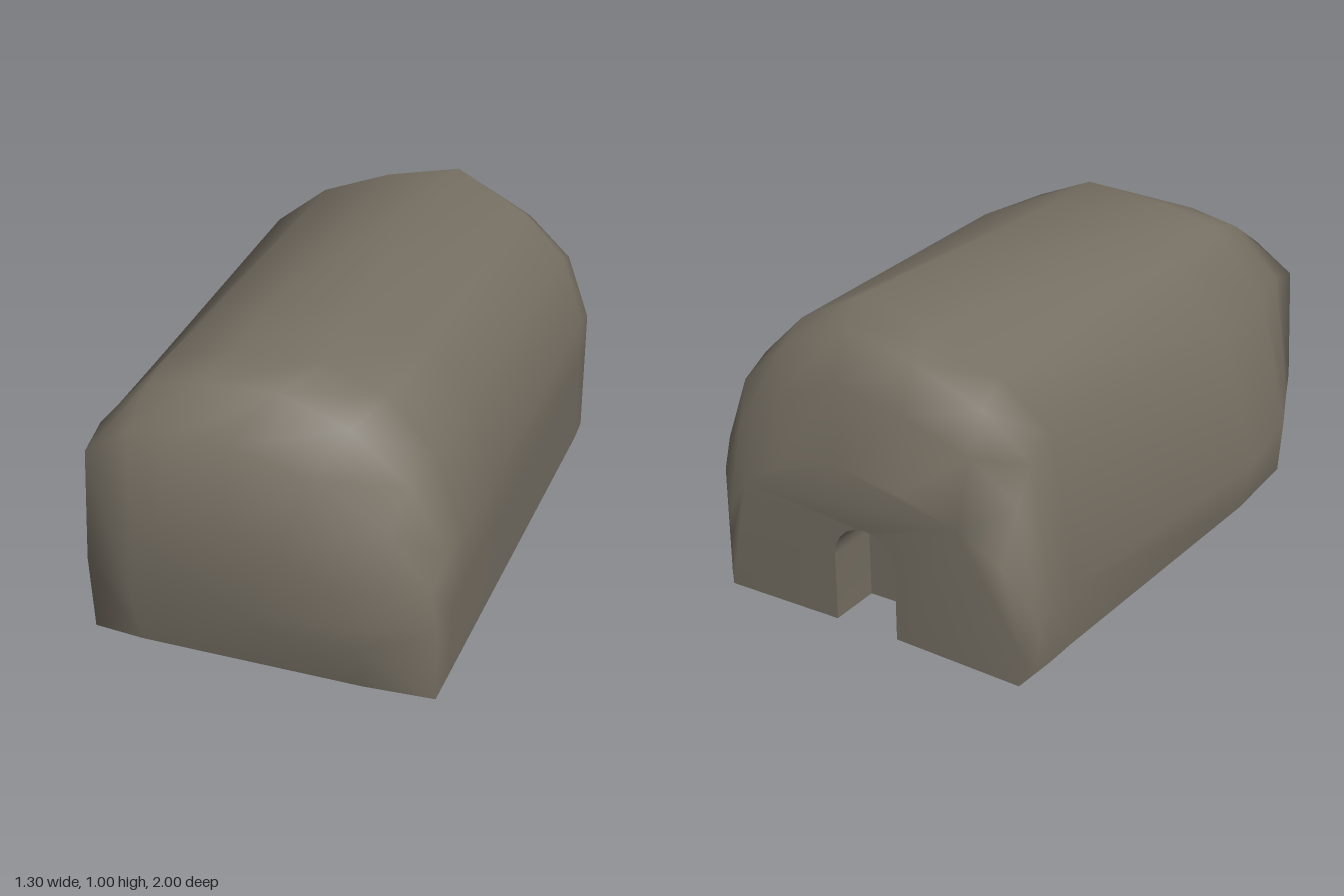
import * as THREE from 'three';
import { mergeVertices } from 'three/addons/utils/BufferGeometryUtils.js';

// Arch cross-sections, from the +x foot over the top to the -x foot
const FRONT = [[.65, 0], [.65, .24], [.63, .38], [.49, .55], [.25, .69], [0, .755], [-.2, .76], [-.34, .735], [-.48, .64], [-.495, .25], [-.48, 0]];
const BROW = [[.65, 0], [.65, .24], [.645, .44], [.55, .69], [.4, .855], [.2, .94], [-.1, .915], [-.31, .87], [-.5, .65], [-.605, .19], [-.59, 0]];
const MIDDLE = [[.65, 0], [.65, .25], [.65, .45], [.57, .71], [.43, .875], [.18, .955], [-.12, .915], [-.32, .85], [-.515, .64], [-.655, .19], [-.605, 0]];
const REAR = [[.65, 0], [.65, .3], [.65, .48], [.57, .72], [.42, .87], [.18, 1], [-.08, .94], [-.32, .845], [-.5, .7], [-.575, .2], [-.565, 0]];

const ROOM_BACK = -0.79;
// The back wall slants slightly towards -x
const backZ = (x) => -0.97 - 0.054 * Math.max(0, -x);

const atDepth = (section, z) => section.map(([x, y]) => [x, y, z]);
// Shrinks a section towards its -x foot and the ground
const shrink = (section, sx, sy) => section.map(([x, y]) => [-0.45 + (x + 0.45) * sx, y * sy]);
// Section halfway between two others, pushed up a little
const between = (a, b, lift) => a.map(([x, y], j) => [(x + b[j][0]) / 2, (y + b[j][1]) / 2 * lift]);

// Joins neighbouring rows of points into a surface
function loft(rows) {
  const pos = rows.flat(2), idx = [], n = rows[0].length;
  for (let i = 0; i + 1 < rows.length; i++)
    for (let j = 0; j + 1 < n; j++) {
      const a = i * n + j, b = a + n;
      idx.push(a, b, a + 1, a + 1, b, b + 1);
    }
  return { pos, idx };
}

function toGeometry({ pos, idx }) {
  const g = new THREE.BufferGeometry();
  g.setAttribute('position', new THREE.Float32BufferAttribute(pos, 3));
  g.setIndex(idx);
  const merged = mergeVertices(g, 1e-4);
  merged.computeVertexNormals();
  return merged;
}

// Round-topped doorway outline, from the -x foot to the +x foot
function doorOutline() {
  const cx = 0.02, r = 0.115, spring = 0.23, pts = [[cx - r, 0]];
  for (let k = 0; k <= 10; k++) {
    const a = Math.PI * (1 - k / 10);
    pts.push([cx + r * Math.cos(a), spring + r * Math.sin(a)]);
  }
  pts.push([cx + r, 0]);
  return pts;
}

function shellGeometry() {
  const end = shrink(REAR, 0.91, 0.54);
  const surface = loft([
    // The front bulges gently out to an inner ring
    FRONT.map(([x, y]) => [x * 0.65, y * 0.64, y > 0 ? 1 : 0.96]),
    atDepth(FRONT, 0.945),
    atDepth(between(FRONT, BROW, 1.035), 0.81),
    atDepth(BROW, 0.68),
    atDepth(MIDDLE, 0.35),
    atDepth(REAR, -0.72),
    atDepth(shrink(REAR, 0.995, 0.93), -0.835),
    atDepth(shrink(REAR, 0.96, 0.78), -0.91),
    end.map(([x, y]) => [x, y, backZ(x)]),
  ]);
  const { pos, idx } = surface, n = FRONT.length;

  // Close the front around a centre point
  const c = pos.length / 3;
  pos.push(0.03, 0.2, 1);
  for (let j = 0; j < n; j++) idx.push(c, j, (j + 1) % n);

  // Back wall with the doorway cut out of its foot
  const outline = [...end, ...doorOutline()].map(([x, y]) => new THREE.Vector2(x, y));
  const start = pos.length / 3;
  outline.forEach((p) => pos.push(p.x, p.y, backZ(p.x)));
  for (const [a, b, d] of THREE.ShapeUtils.triangulateShape(outline, []))
    idx.push(start + a, start + d, start + b);
  return toGeometry(surface);
}

// Sides of the doorway, running in to the room
function jambGeometry() {
  const outline = doorOutline();
  return toGeometry(loft([outline.map(([x, y]) => [x, y, backZ(x)]), atDepth(outline, ROOM_BACK)]));
}

// Inner block, seen through the doorway and from below, notched on both sides
function roomGeometry() {
  const half = [[.54, -ROOM_BACK], [.54, -.3], [.45, -.3], [.45, -.62], [.53, -.62], [.49, -.8]];
  const mirrored = half.map(([x, y]) => [-x, y]).reverse();
  const shape = new THREE.Shape([...half, ...mirrored].map(([x, y]) => new THREE.Vector2(x, y)));
  const g = new THREE.ExtrudeGeometry(shape, { depth: 0.36, bevelEnabled: false });
  g.rotateX(-Math.PI / 2);
  return g;
}

export function createModel() {
  const group = new THREE.Group();
  const stone = new THREE.MeshStandardMaterial({ color: 0x766f63, side: THREE.DoubleSide });
  stone.name = 'stone';
  const add = (name, geometry) => {
    const mesh = new THREE.Mesh(geometry, stone);
    mesh.name = name;
    group.add(mesh);
  };

  add('rockShell', shellGeometry());
  add('doorJamb', jambGeometry());
  add('innerRoom', roomGeometry());
  return group;
}
